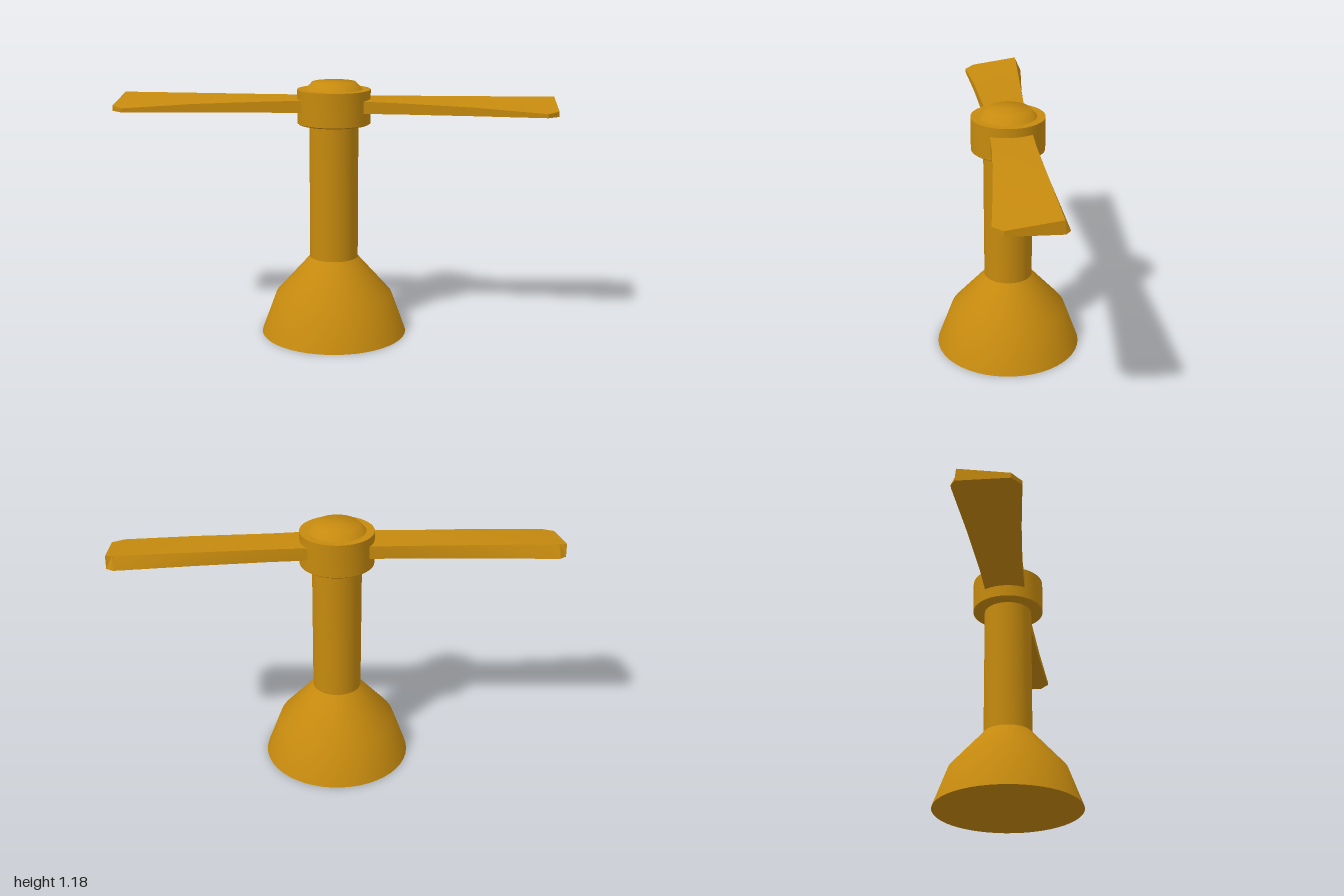
import * as THREE from 'three';
import { toCreasedNormals } from 'three/addons/utils/BufferGeometryUtils.js';

const material = new THREE.MeshStandardMaterial({ color: 0xc68a0e });

function turned(name, profile) {
  const points = profile.map(([r, y]) => new THREE.Vector2(r, y));
  const mesh = new THREE.Mesh(toCreasedNormals(new THREE.LatheGeometry(points, 48), 0.9), material);
  mesh.name = name;
  return mesh;
}

// Each section: x, front z, front top y, back bottom z, back top z
const bladeSections = [
  [0.05, 0.09, 1.11, -0.095, -0.095],
  [0.30, 0.093, 1.102, -0.102, -0.098],
  [0.63, 0.114, 1.09, -0.122, -0.11],
  [0.95, 0.142, 1.07, -0.148, -0.121],
  [0.97, 0.125, 1.072, -0.148, -0.122],
  [1.00, 0.10, 1.076, -0.128, -0.122],
];

// Loft a wedge-shaped blade; side is +1 or -1
function blade(name, side) {
  const bottom = 1.052, top = 1.11;
  const positions = [], index = [];
  const tri = (a, b, c) => index.push(...(side > 0 ? [a, b, c] : [a, c, b]));
  const quad = (a, b, c, d) => { tri(a, b, c); tri(a, c, d); };
  for (const [x, front, frontTop, back, backTop] of bladeSections) {
    const corners = [[bottom, front], [frontTop, front], [top, backTop], [bottom, back]];
    for (const [y, z] of corners) positions.push(side * x, y, z);
  }
  const last = (bladeSections.length - 1) * 4;
  for (let s = 0; s < last; s += 4) {
    for (let k = 0; k < 4; k++) {
      const n = (k + 1) % 4;
      quad(s + k, s + 4 + k, s + 4 + n, s + n);
    }
  }
  quad(0, 1, 2, 3);
  quad(last + 3, last + 2, last + 1, last);
  const geometry = new THREE.BufferGeometry();
  geometry.setAttribute('position', new THREE.Float32BufferAttribute(positions, 3));
  geometry.setIndex(index);
  const mesh = new THREE.Mesh(toCreasedNormals(geometry, 0.4), material);
  mesh.name = name;
  return mesh;
}

export function createModel() {
  const group = new THREE.Group();
  group.name = 'rotorOnStand';
  group.add(
    // Flared foot, closed underneath
    turned('base', [[0, 0], [0.34, 0], [0.272, 0.185], [0.112, 0.365]]),
    turned('column', [[0.112, 0.365], [0.112, 1.0]]),
    // Hub drum with a bevelled cap
    turned('hub', [[0, 0.992], [0.16, 0.992], [0.167, 0.997], [0.167, 1.15], [0.13, 1.15]]),
    turned('hubCap', [[0.13, 1.15], [0.10, 1.183], [0, 1.185]]),
    blade('leftBlade', 1),
    blade('rightBlade', -1),
  );
  return group;
}
